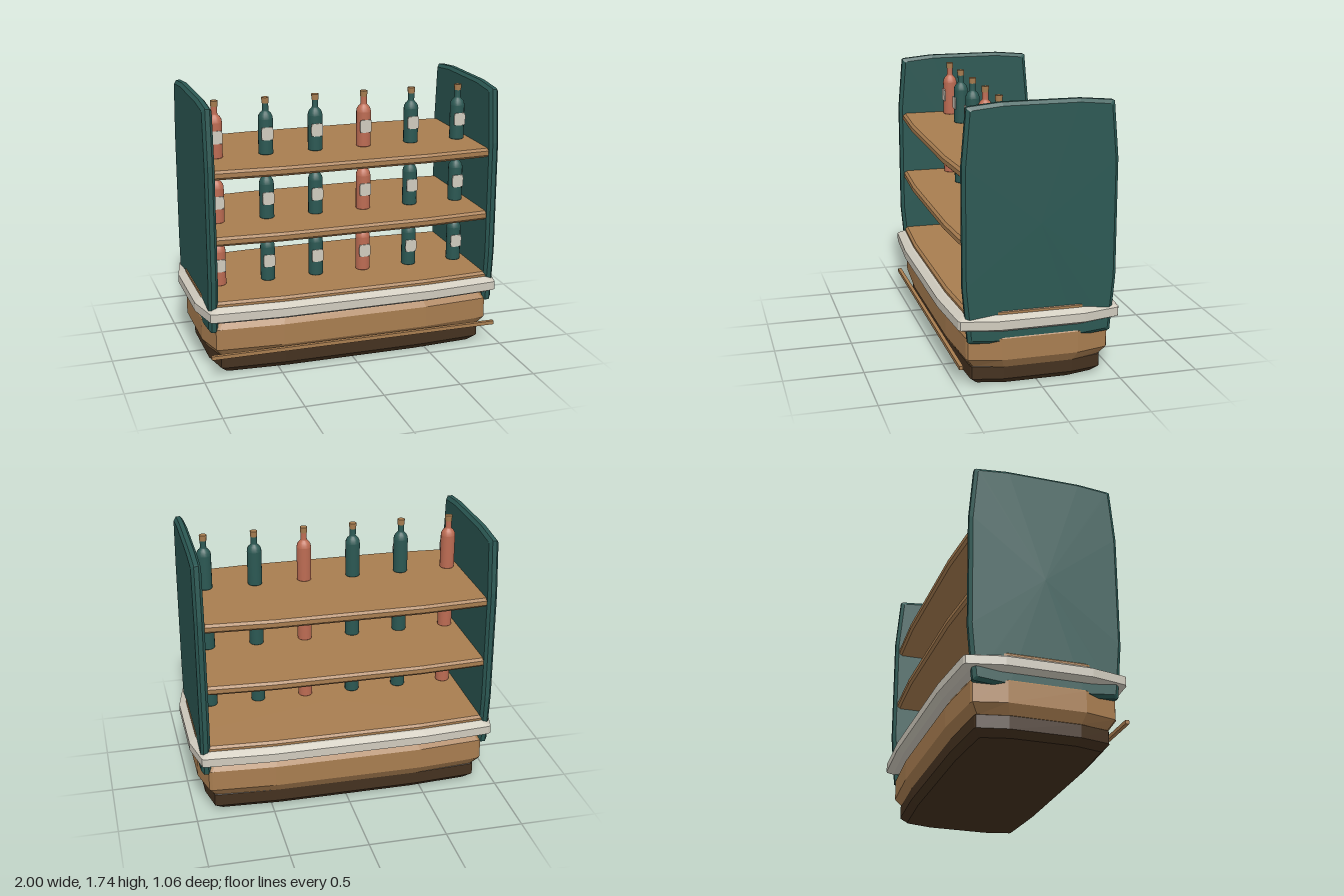
import * as THREE from 'three';

const mat = (name, color, side = THREE.FrontSide) => {
  const m = new THREE.MeshStandardMaterial({ color, side });
  m.name = name;
  return m;
};

// Rectangle outline whose four sides bow outward, counter-clockwise
function bowedOutline(a, b, corner) {
  const c = corner;
  const quarter = [[a, b / 2], [a - c, b - c * 0.8], [a - c * 1.4, b - c * 0.6], [a / 2, b]];
  const half = [...quarter, ...quarter.map(([x, y]) => [-x, y]).reverse()];
  return [...half, ...half.map(([x, y]) => [-x, -y])];
}

// Faceted slab along z: each level is [position, inset of the outline]
function bowedSlab(a, b, levels, corner = 0.05) {
  const rings = levels.map(([t, inset]) =>
    bowedOutline(a - inset, b - inset, corner).map(([x, y]) => [x, y, t]));
  const n = rings[0].length, last = rings.length - 1, pos = [];
  const tri = (...pts) => pts.forEach((p) => pos.push(...p));
  for (let k = 0; k < last; k++) {
    for (let i = 0; i < n; i++) {
      const j = (i + 1) % n, lo = rings[k], hi = rings[k + 1];
      tri(lo[i], lo[j], hi[j]);
      tri(lo[i], hi[j], hi[i]);
    }
  }
  for (let i = 0; i < n; i++) {
    const j = (i + 1) % n;
    tri([0, 0, levels[last][0]], rings[last][i], rings[last][j]);
    tri([0, 0, levels[0][0]], rings[0][j], rings[0][i]);
  }
  const g = new THREE.BufferGeometry();
  g.setAttribute('position', new THREE.Float32BufferAttribute(pos, 3));
  g.computeVertexNormals();
  return g;
}

// Lathe from straight segments, each with its own edge for crisp creases
function turned(points, segments = 16) {
  return new THREE.LatheGeometry(points.map(([r, y]) => new THREE.Vector2(r, y)), segments);
}

export function createModel() {
  const wood = mat('wood', 0xa87d50);
  const darkWood = mat('darkWood', 0x44311f);
  const teal = mat('teal', 0x2b5853);
  const cream = mat('cream', 0xd0cbbe);
  const coral = mat('coral', 0xbd6c53);

  const model = new THREE.Group();
  model.name = 'bottleDisplayShelf';
  const add = (parent, name, geometry, material, x = 0, y = 0, z = 0) => {
    const mesh = new THREE.Mesh(geometry, material);
    mesh.name = name;
    mesh.position.set(x, y, z);
    parent.add(mesh);
    return mesh;
  };
  const flat = (a, b, levels, corner) => bowedSlab(a, b, levels, corner).rotateX(-Math.PI / 2);

  // Base, cabinet and counter
  add(model, 'plinth', flat(0.91, 0.435, [[0, 0.04], [0.04, 0], [0.12, 0], [0.15, 0.03]], 0.04), darkWood);
  add(model, 'cabinet', flat(0.955, 0.475, [[0.12, 0.04], [0.18, 0], [0.315, 0], [0.375, 0.04]]), wood);
  add(model, 'counterTrim', flat(1, 0.532, [[0.367, 0.04], [0.39, 0], [0.445, 0], [0.47, 0.04]]), cream);
  add(model, 'counterTop', flat(0.956, 0.475, [[0.42, 0.015], [0.435, 0], [0.485, 0], [0.5, 0.015]], 0.04), wood);

  // Thin rail along the front of the cabinet
  add(model, 'frontRail', new THREE.BoxGeometry(1.9, 0.024, 0.024), wood, 0, 0.156, 0.489);

  // Upper shelves
  const shelfGeo = flat(0.945, 0.475, [[-0.029, 0.015], [-0.014, 0], [0.014, 0], [0.029, 0.015]], 0.04);
  [0.889, 1.307].forEach((y) => add(model, 'shelf', shelfGeo, wood, 0, y, 0));

  // Side panels
  const panelGeo = bowedSlab(0.475, 0.73,
    [[-0.031, 0.02], [-0.014, 0], [0.014, 0], [0.031, 0.02]], 0.03).rotateY(Math.PI / 2);
  for (const s of [1, -1]) add(model, s > 0 ? 'leftPanel' : 'rightPanel', panelGeo, teal, s * 0.92, 1.01, 0);

  // Bottles
  const bodyGeo = turned([[0, 0], [0.044, 0], [0.047, 0.005], [0.047, 0.225]]);
  const neckGeo = turned([[0.047, 0.225], [0.044, 0.243], [0.035, 0.259], [0.023, 0.27], [0.02, 0.277], [0.02, 0.325]]);
  const corkGeo = new THREE.CylinderGeometry(0.024, 0.022, 0.037, 16);
  const labelShape = new THREE.Shape(
    bowedOutline(0.038, 0.041, 0.003).map(([x, y]) => new THREE.Vector2(x, y)));
  const labelGeo = new THREE.ExtrudeGeometry(labelShape, { depth: 0.008, bevelEnabled: false });

  [0.5, 0.917, 1.336].forEach((y) => {
    for (let i = 0; i < 6; i++) {
      const bottle = new THREE.Group();
      bottle.name = 'bottle';
      bottle.position.set(-0.811 + i * 0.323, y, 0.128);
      const glass = i % 3 === 0 ? coral : teal;
      add(bottle, 'bottleBody', bodyGeo, glass);
      add(bottle, 'bottleNeck', neckGeo, glass);
      add(bottle, 'cork', corkGeo, wood, 0, 0.341, 0);
      add(bottle, 'label', labelGeo, cream, 0, 0.136, 0.042);
      model.add(bottle);
    }
  });
  return model;
}
